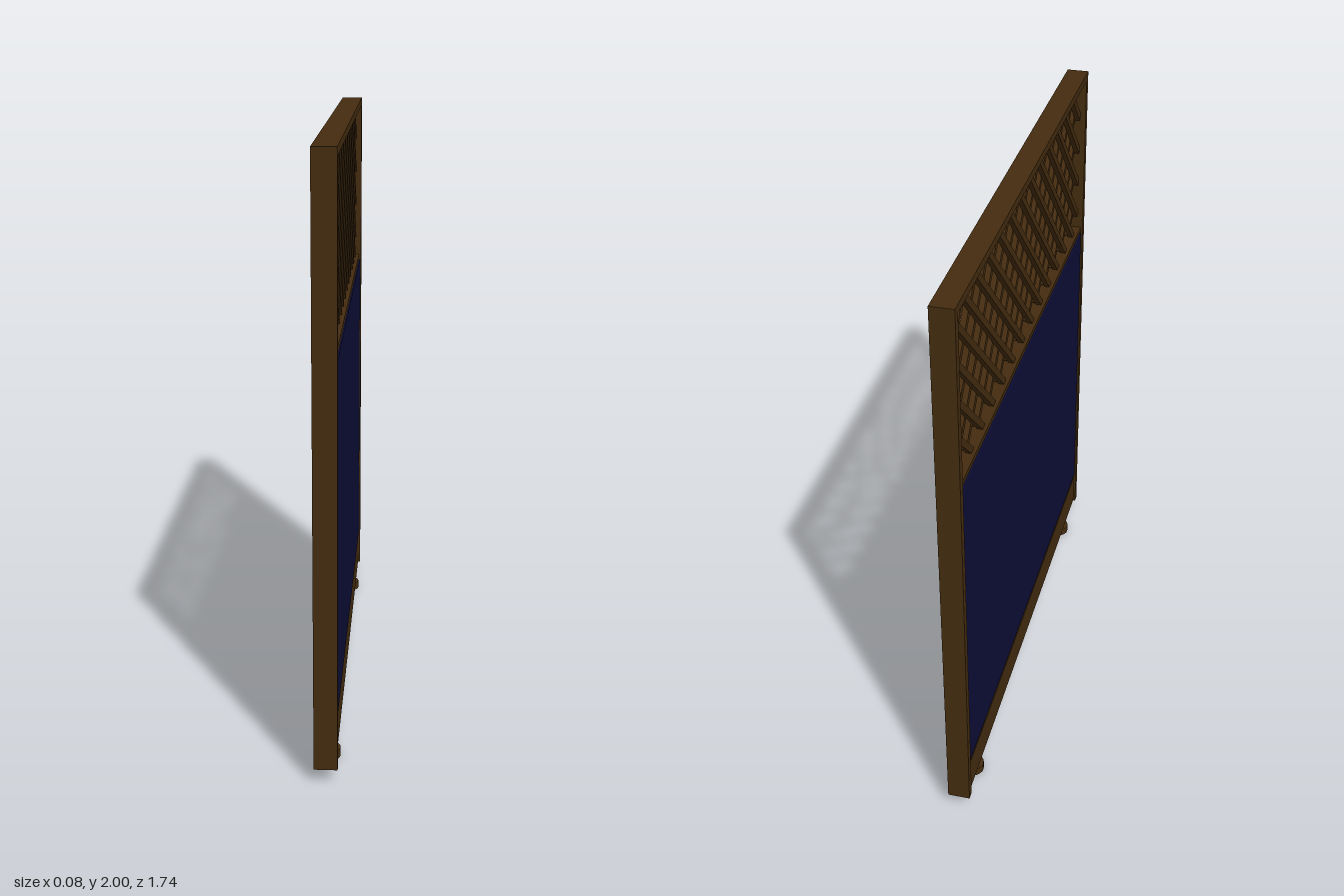
import * as THREE from 'three';
import { RoundedBoxGeometry } from 'three/addons/geometries/RoundedBoxGeometry.js';

export function createModel() {
  const wood = new THREE.MeshStandardMaterial({ color: 0x442c0f });
  wood.name = 'dark wood';
  const fabric = new THREE.MeshStandardMaterial({ color: 0x0d0d36 });
  fabric.name = 'navy fabric';

  const model = new THREE.Group();
  model.name = 'partitionScreen';

  const add = (name, geometry, material, x, y, z, parent = model) => {
    const mesh = new THREE.Mesh(geometry, material);
    mesh.name = name;
    mesh.position.set(x, y, z);
    parent.add(mesh);
    return mesh;
  };
  // Full-width rail between two heights
  const rail = (name, depth, y0, y1) =>
    add(name, new THREE.BoxGeometry(depth, y1 - y0, 1.69), wood, 0, (y0 + y1) / 2, 0);

  // Frame
  for (const s of [1, -1]) {
    add(s > 0 ? 'frontPost' : 'backPost', new THREE.BoxGeometry(0.076, 1.95, 0.028), wood, 0, 1.025, s * 0.858);
  }
  rail('topRail', 0.076, 1.973, 2);
  rail('middleRail', 0.06, 1.362, 1.383);
  rail('lowerRail', 0.056, 0.175, 0.194);
  rail('kickBoard', 0.06, 0.052, 0.176);

  // Padded panel with softened edges
  add('fabricPanel', new RoundedBoxGeometry(0.068, 1.176, 1.686, 3, 0.01), fabric, 0, 0.78, 0);

  // Diagonal lattice: one layer of slats per direction
  const lattice = new THREE.Group();
  lattice.name = 'lattice';
  model.add(lattice);
  const pitch = 0.1305, zc = -0.012, yc = 1.645;
  const zMax = 0.848, yMin = 1.38, yMax = 1.977;
  for (const s of [1, -1]) {
    for (let k = -12; k <= 12; k++) {
      // Slat centre line z = zStart + s * (y - yc), clipped to the opening
      const zStart = zc + k * pitch;
      const yA = yc + s * (-zMax - zStart), yB = yc + s * (zMax - zStart);
      const y0 = Math.max(yMin, Math.min(yA, yB));
      const y1 = Math.min(yMax, Math.max(yA, yB));
      if (y1 - y0 < 0.01) continue;
      const y = (y0 + y1) / 2;
      const slat = add('latticeSlat', new THREE.BoxGeometry(0.018, (y1 - y0) * Math.SQRT2, 0.023), wood,
        s * 0.009, y, zStart + s * (y - yc), lattice);
      slat.rotation.x = s * Math.PI / 4;
    }
  }

  // Levelling feet
  for (const s of [1, -1]) {
    const foot = new THREE.Group();
    foot.name = s > 0 ? 'frontFoot' : 'backFoot';
    foot.position.z = s * 0.69;
    model.add(foot);
    add('footPad', new THREE.CylinderGeometry(0.038, 0.038, 0.03, 20), wood, 0, 0.015, 0, foot);
    add('footStem', new THREE.CylinderGeometry(0.024, 0.024, 0.03, 20), wood, 0, 0.042, 0, foot);
  }
  return model;
}
